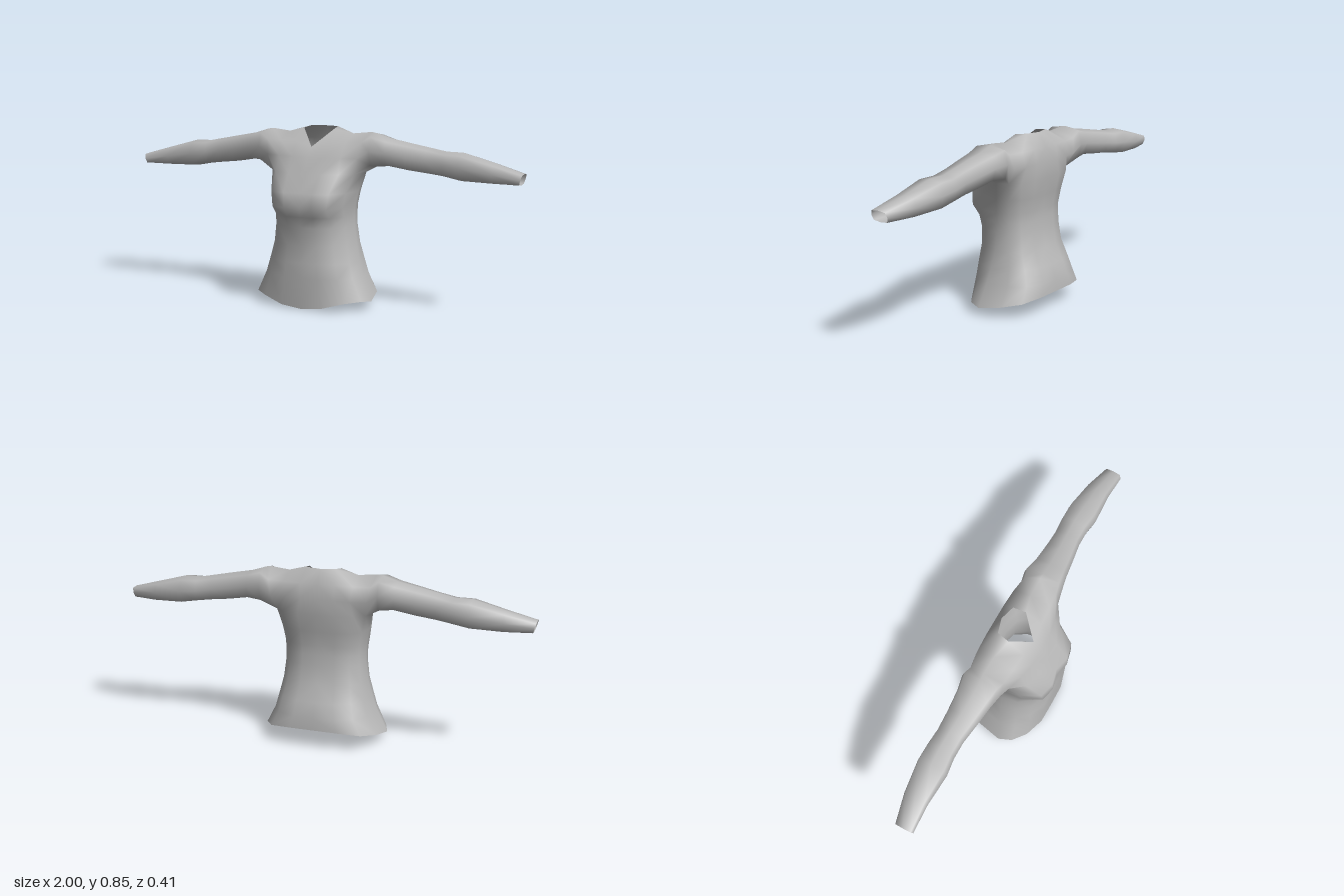
import * as THREE from 'three';
import { mergeVertices } from 'three/addons/utils/BufferGeometryUtils.js';

// Body rows from hem to armpit: height, half width, front z, side z, back z, bust bulge
const BODY_ROWS = [
  [0.00, 0.300, 0.175, 0.03, -0.205, 0],
  [0.15, 0.250, 0.175, 0.02, -0.200, 0],
  [0.22, 0.230, 0.172, 0.01, -0.175, 0],
  [0.30, 0.210, 0.165, 0.00, -0.140, 0],
  [0.39, 0.198, 0.172, 0.00, -0.128, 0],
  [0.44, 0.198, 0.184, 0.00, -0.125, 0.2],
  [0.485, 0.200, 0.208, 0.00, -0.124, 1],
  [0.555, 0.212, 0.205, -0.01, -0.134, 1],
  [0.64, 0.235, 0.143, -0.03, -0.148, 0.3],
];
// Columns run from the front centre, round the side, to the back centre
const COL_X = [0, 0.35, 0.7, 0.92, 1, 0.93, 0.75, 0.4, 0];
const COL_Z = [1, 1, 0.8, 0.45, 0, 0.5, 0.85, 1, 1];
const BUST_Z = [-0.018, 0, 0.025, 0.01, 0, 0, 0, 0, 0];
const HEM_Y = [0, 0.012, 0.04, 0.047, 0.038, 0.06, 0.077, 0.09, 0.09];

// Chest and back panels above the armpit, each row from the front or side inward
const CHEST_ROWS = [
  [[0, 0.71, 0.106], [0.08, 0.715, 0.104], [0.16, 0.715, 0.088], [0.235, 0.715, 0.065]],
  [[0, 0.76, 0.063], [0.085, 0.785, 0.058], [0.17, 0.785, 0.053], [0.25, 0.79, 0.045]],
  [[0.04, 0.80, 0.02], [0.08, 0.842, -0.02], [0.17, 0.822, -0.045], [0.262, 0.832, -0.045]],
];
const BACK_ROWS = [
  [[0.235, 0.715, -0.135], [0.16, 0.715, -0.146], [0.08, 0.715, -0.148], [0, 0.715, -0.147]],
  [[0.25, 0.785, -0.12], [0.17, 0.785, -0.132], [0.085, 0.785, -0.136], [0, 0.785, -0.136]],
  [[0.262, 0.832, -0.045], [0.17, 0.822, -0.045], [0.07, 0.85, -0.08], [0, 0.85, -0.1]],
];
// Sleeve sections: x, bottom y, top y, front z, back z
const SLEEVE = [
  [0.29, 0.670, 0.828, 0.055, -0.142],
  [0.36, 0.677, 0.806, 0.040, -0.128],
  [0.46, 0.660, 0.788, 0.025, -0.122],
  [0.55, 0.650, 0.771, 0.010, -0.120],
  [0.63, 0.640, 0.756, 0.008, -0.128],
  [0.71, 0.625, 0.755, 0.018, -0.130],
  [0.86, 0.622, 0.715, 0.006, -0.112],
  [1.00, 0.624, 0.676, 0.010, -0.080],
];

function bodyRow([y, w, zf, zs, zb, bust], row) {
  return COL_X.map((fx, j) => [
    fx * w,
    row === 0 ? HEM_Y[j] : y,
    zs + ((j < 4 ? zf : zb) - zs) * COL_Z[j] + bust * BUST_Z[j],
  ]);
}

// Eight-sided rounded-box section: bottom, front, top, back
function sleeveRing([x, y0, y1, zf, zb]) {
  return Array.from({ length: 8 }, (_, i) => {
    const a = (i * Math.PI) / 4, k = i % 2 ? 1.17 : 1;
    const u = Math.sin(a) * k, v = -Math.cos(a) * k;
    const cuffLean = x === 1 ? (v - 1) * 0.007 : 0;
    return [x + cuffLean, (y0 + y1) / 2 + (v * (y1 - y0)) / 2, (zf + zb) / 2 + (u * (zf - zb)) / 2];
  });
}

// Triangles between two neighbouring rows of points
function strip(out, low, high, closed = false) {
  const n = low.length;
  for (let i = 0; i < (closed ? n : n - 1); i++) {
    const k = (i + 1) % n;
    out.push(low[i], low[k], high[k], low[i], high[k], high[i]);
  }
}

// Mirror triangles to the other side, keeping them facing outward
function mirror(points) {
  const out = [];
  for (let i = 0; i < points.length; i += 3) {
    for (const k of [0, 2, 1]) {
      const [x, y, z] = points[i + k];
      out.push([x === 0 ? 0 : -x, y, z]);
    }
  }
  return out;
}

export function createModel() {
  const group = new THREE.Group();
  group.name = 'longSleevedTop';
  const cloth = new THREE.MeshStandardMaterial({ color: 0xb8b8b8, side: THREE.DoubleSide });
  cloth.name = 'grey cloth';

  // Half of the body
  const body = [];
  const rows = BODY_ROWS.map(bodyRow);
  for (let r = 0; r + 1 < rows.length; r++) strip(body, rows[r], rows[r + 1]);
  const armpitRow = rows[rows.length - 1];
  const chest = [armpitRow.slice(0, 4), ...CHEST_ROWS];
  const back = [armpitRow.slice(5), ...BACK_ROWS];
  for (let r = 0; r < 3; r++) {
    strip(body, chest[r], chest[r + 1]);
    strip(body, back[r], back[r + 1]);
  }
  // Shoulder gusset beside the neck
  body.push(chest[3][1], chest[3][2], back[3][2]);

  // Sleeve grown from the armhole edge
  const sleeve = [];
  const armhole = [armpitRow[4], ...chest.map((row) => row[3]), back[2][0], back[1][0], back[0][0]];
  const rings = [armhole, ...SLEEVE.map(sleeveRing)];
  for (let s = 0; s + 1 < rings.length; s++) strip(sleeve, rings[s + 1], rings[s], true);

  // Join all parts for smooth normals across the seams, then split them again
  const parts = [
    ['body', [...body, ...mirror(body)]],
    ['leftSleeve', sleeve],
    ['rightSleeve', mirror(sleeve)],
  ];
  const all = new THREE.BufferGeometry();
  const positions = parts.flatMap(([, points]) => points).flat();
  all.setAttribute('position', new THREE.Float32BufferAttribute(positions, 3));
  const joined = mergeVertices(all, 1e-4);
  joined.computeVertexNormals();

  let start = 0;
  for (const [name, points] of parts) {
    const piece = joined.clone();
    piece.setIndex(Array.from(joined.index.array.slice(start, start + points.length)));
    start += points.length;
    const mesh = new THREE.Mesh(piece.toNonIndexed(), cloth);
    mesh.name = name;
    group.add(mesh);
  }
  return group;
}
